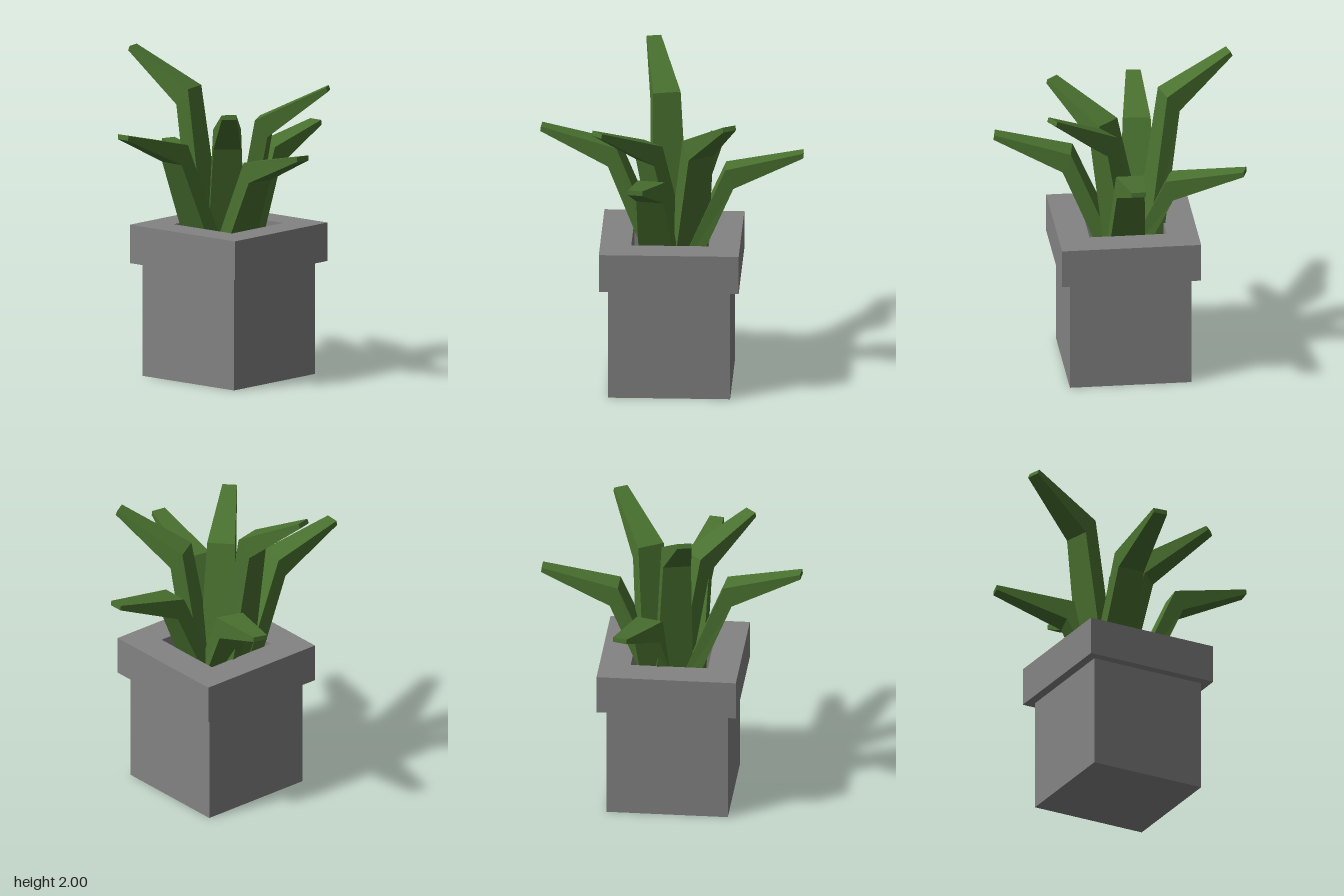
import * as THREE from 'three';

const stone = new THREE.MeshStandardMaterial({ color: 0x838383, flatShading: true });
stone.name = 'stone grey';
const soilBrown = new THREE.MeshStandardMaterial({ color: 0x85613a, flatShading: true });
soilBrown.name = 'soil brown';
const leafGreen = new THREE.MeshStandardMaterial({ color: 0x4a7230, flatShading: true });
leafGreen.name = 'leaf green';

const POT_X = -0.025;
const ROOT_Y = 0.69;

function add(parent, name, geometry, material, x, y, z) {
  const mesh = new THREE.Mesh(geometry, material);
  mesh.name = name;
  mesh.position.set(x, y, z);
  parent.add(mesh);
  return mesh;
}

// Square collar with a square opening, extruded upwards
function rimGeometry(half, holeHalf, height) {
  const square = (Type, h) => {
    const p = new Type();
    p.moveTo(-h, -h).lineTo(h, -h).lineTo(h, h).lineTo(-h, h).closePath();
    return p;
  };
  const shape = square(THREE.Shape, half);
  shape.holes.push(square(THREE.Path, holeHalf));
  return new THREE.ExtrudeGeometry(shape, { depth: height, bevelEnabled: false }).rotateX(-Math.PI / 2);
}

// Bent tapering blade: x points outward and the upper tip edge lies at the origin.
// The blade profile is pitched about the tip and its stem runs down into the soil.
function leafGeometry(tipY, pitch) {
  const c = Math.cos(pitch), s = Math.sin(pitch);
  const turn = (x, y) => [x * c - y * s, x * s + y * c];
  const bendTop = turn(-0.475, -0.1), bendBottom = turn(-0.425, -0.22);
  const stem = turn(-0.446, -1);
  const down = ([x, y]) => {
    const drop = ROOT_Y - tipY - y;
    return [x + (stem[0] / stem[1]) * drop, ROOT_Y - tipY];
  };
  const stations = [
    { top: down(bendTop), bottom: down(bendBottom), half: 0.12 },
    { top: bendTop, bottom: bendBottom, half: 0.086 },
    { top: [0, 0], bottom: turn(0.003, -0.03), half: 0.045 },
  ];
  const rings = stations.map(({ top, bottom, half }) => [
    [...top, -half], [...top, half], [...bottom, half], [...bottom, -half],
  ]);
  const pos = [];
  const quad = (a, b, d, e) => pos.push(...a, ...b, ...d, ...a, ...d, ...e);
  for (let i = 0; i < 2; i++) {
    for (let j = 0; j < 4; j++) {
      const k = (j + 1) % 4;
      quad(rings[i][j], rings[i][k], rings[i + 1][k], rings[i + 1][j]);
    }
  }
  quad(...rings[2]);
  quad(...[...rings[0]].reverse());
  const geometry = new THREE.BufferGeometry();
  geometry.setAttribute('position', new THREE.Float32BufferAttribute(pos, 3));
  geometry.computeVertexNormals();
  return geometry;
}

export function createModel() {
  const model = new THREE.Group();
  model.name = 'pottedPlant';

  // Pot
  const pot = new THREE.Group();
  pot.name = 'pot';
  model.add(pot);
  add(pot, 'potBody', new THREE.BoxGeometry(0.75, 0.705, 0.75), stone, POT_X, 0.3525, 0);
  add(pot, 'potRim', rimGeometry(0.43, 0.238, 0.24), stone, POT_X, 0.705, 0);
  add(pot, 'soil', new THREE.BoxGeometry(0.476, 0.02, 0.476), soilBrown, POT_X, 0.715, 0);

  // Leaves: tip x, y, z, heading from +x towards +z, pitch (degrees)
  const leaves = [
    [-0.025, 1.487, -0.808, -90, 0],
    [-0.177, 1.59, 0.805, 94, 1.5],
    [0.752, 1.487, 0.192, 10, 0],
    [0.455, 1.81, -0.372, -31, 14],
    [0.367, 1.73, 0.44, 47, 9],
    [-0.688, 2.0, 0.135, 167, 16],
    [-0.745, 1.36, -0.257, 197, -2],
  ];
  const foliage = new THREE.Group();
  foliage.name = 'foliage';
  model.add(foliage);
  leaves.forEach(([x, y, z, heading, pitch], i) => {
    const geometry = leafGeometry(y, THREE.MathUtils.degToRad(pitch));
    const leaf = add(foliage, 'leaf' + (i + 1), geometry, leafGreen, x, y, z);
    leaf.rotation.y = -THREE.MathUtils.degToRad(heading);
  });

  return model;
}
